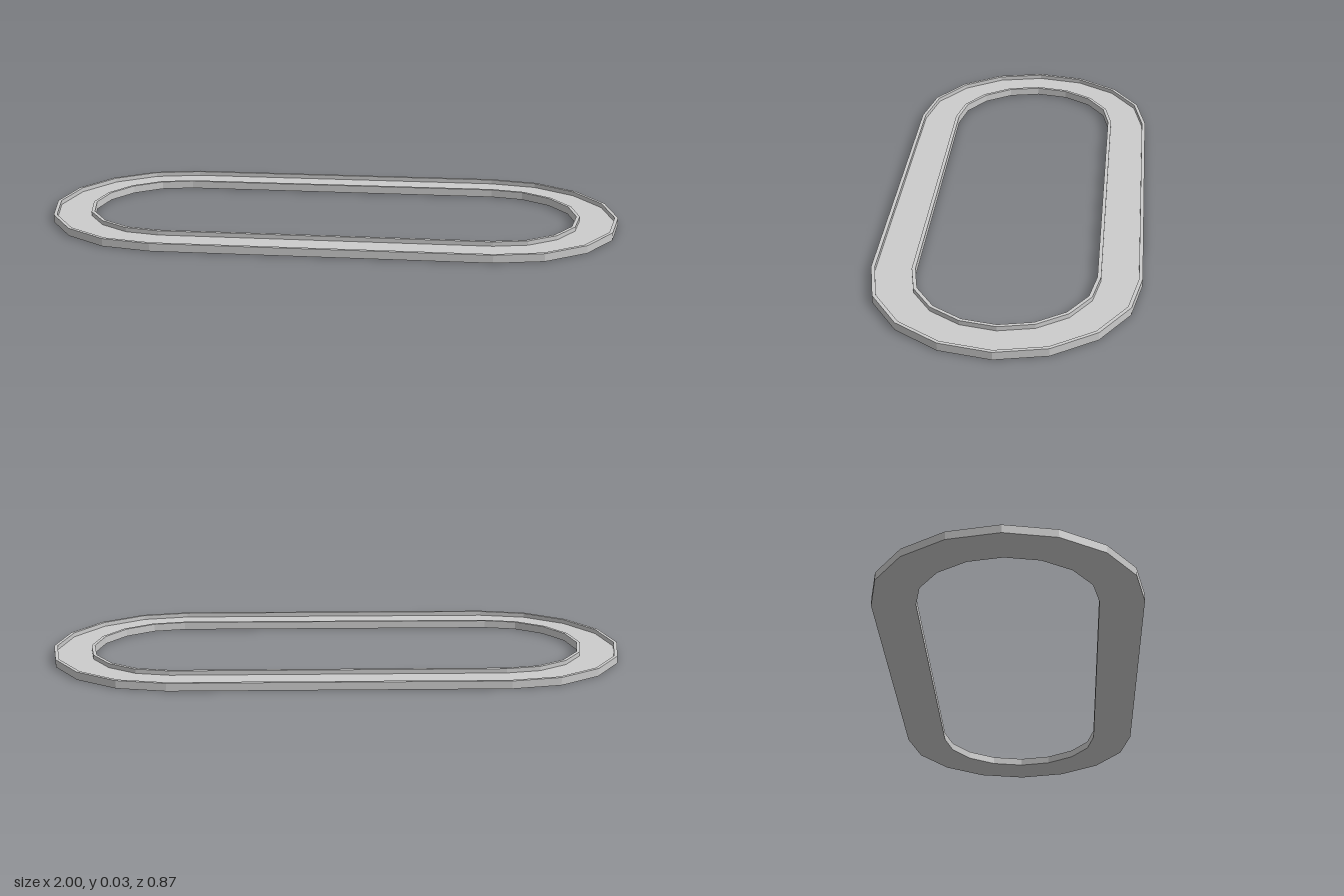
import * as THREE from 'three';

const HALF_STRAIGHT = 0.564; // centre of each rounded end
const OUTER = 0.436, INNER = 0.292; // end radii
const HEIGHT = 0.027, FLOOR = 0.012, LIP = 0.012;

// Cross-section of the channel as [radius, height], outer wall first
const profile = [
  [OUTER, 0], [OUTER, HEIGHT], [OUTER - LIP, HEIGHT], [OUTER - LIP, FLOOR],
  [INNER + LIP, FLOOR], [INNER + LIP, HEIGHT], [INNER, HEIGHT], [INNER, 0],
];

// Sweeps the closed profile round a stadium with 8 facets per rounded end
function sweepStadium(section, steps) {
  const positions = [], index = [], n = section.length;
  const stations = 2 * (steps + 1);
  for (let s = 0; s < stations; s++) {
    const end = s <= steps ? 0 : 1;
    const angle = -Math.PI / 2 + Math.PI * ((s - end * (steps + 1)) / steps + end);
    const centre = end ? -HALF_STRAIGHT : HALF_STRAIGHT;
    for (const [r, y] of section) {
      positions.push(centre + r * Math.cos(angle), y, r * Math.sin(angle));
    }
    const next = (s + 1) % stations;
    for (let i = 0; i < n; i++) {
      const j = (i + 1) % n;
      const a = s * n + i, b = s * n + j, c = next * n + j, d = next * n + i;
      index.push(a, b, c, a, c, d);
    }
  }
  const geometry = new THREE.BufferGeometry();
  geometry.setAttribute('position', new THREE.Float32BufferAttribute(positions, 3));
  geometry.setIndex(index);
  const faceted = geometry.toNonIndexed();
  faceted.computeVertexNormals();
  return faceted;
}

export function createModel() {
  const group = new THREE.Group();
  group.name = 'ovalTrack';
  const material = new THREE.MeshStandardMaterial({ color: 0xcccccc, flatShading: true });

  // Flat ring with a raised lip along both edges
  const ring = new THREE.Mesh(sweepStadium(profile, 8), material);
  ring.name = 'lippedRing';
  group.add(ring);
  return group;
}
